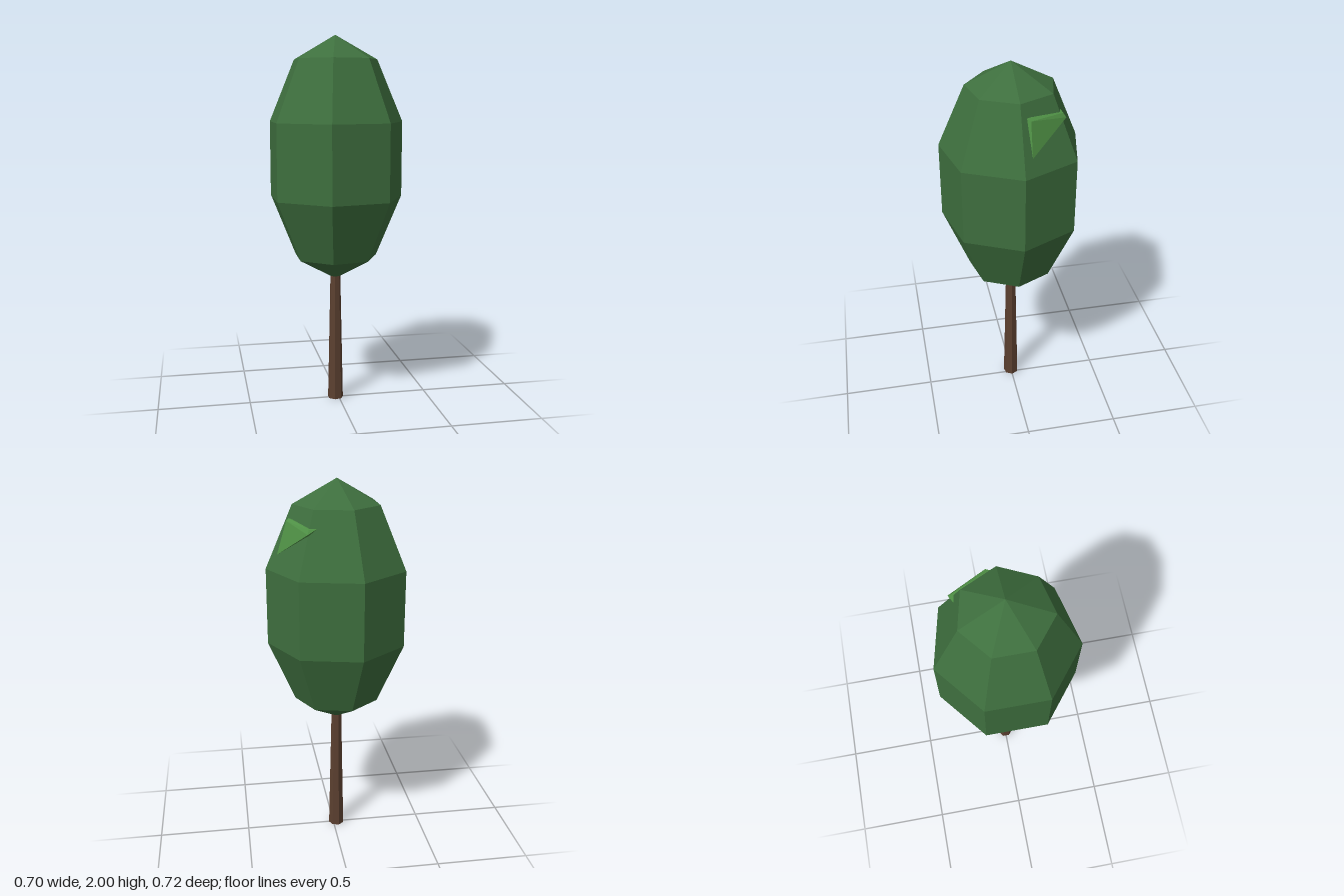
import * as THREE from 'three';
import { ConvexGeometry } from 'three/addons/geometries/ConvexGeometry.js';

const SIDES = 7;
const AXIS_X = -0.018;

function makeMaterial(name, color) {
  const material = new THREE.MeshStandardMaterial({ color, flatShading: true });
  material.name = name;
  return material;
}

export function createModel() {
  const tree = new THREE.Group();
  tree.name = 'tree';

  const bark = makeMaterial('bark brown', 0x5c4030);
  const foliage = makeMaterial('foliage green', 0x3e6f3e);
  const lightFoliage = makeMaterial('light foliage green', 0x4f9045);

  const add = (name, geometry, material) => {
    const mesh = new THREE.Mesh(geometry, material);
    mesh.name = name;
    tree.add(mesh);
    return mesh;
  };

  // Tapered trunk, its top hidden in the crown
  const trunkHeight = 0.76;
  const trunk = add('trunk', new THREE.CylinderGeometry(0.027, 0.043, trunkHeight, SIDES), bark);
  trunk.position.set(AXIS_X, trunkHeight / 2, 0);
  trunk.rotation.y = Math.PI / 2;

  // Tall faceted crown with a corner towards +x
  const crown = add('crown', new THREE.SphereGeometry(1, SIDES, 5), foliage);
  crown.scale.set(0.389, 0.655, 0.389);
  crown.position.set(AXIS_X, 1.345, 0);
  crown.rotation.y = Math.PI;

  // Small wedge of lighter leaves breaking through the upper crown
  const wedge = [
    [0.245, 1.8, -0.045], [0.153, 1.787, -0.222], // outer ridge
    [0.295, 1.63, -0.045], // lower tip
    [0.23, 1.81, -0.028], [0.11, 1.79, -0.217], [0.16, 1.765, -0.237], // ends
    [0.1, 1.7, -0.1], // root inside the crown
  ].map((p) => new THREE.Vector3(...p));
  add('leafClump', new ConvexGeometry(wedge), lightFoliage);

  return tree;
}
